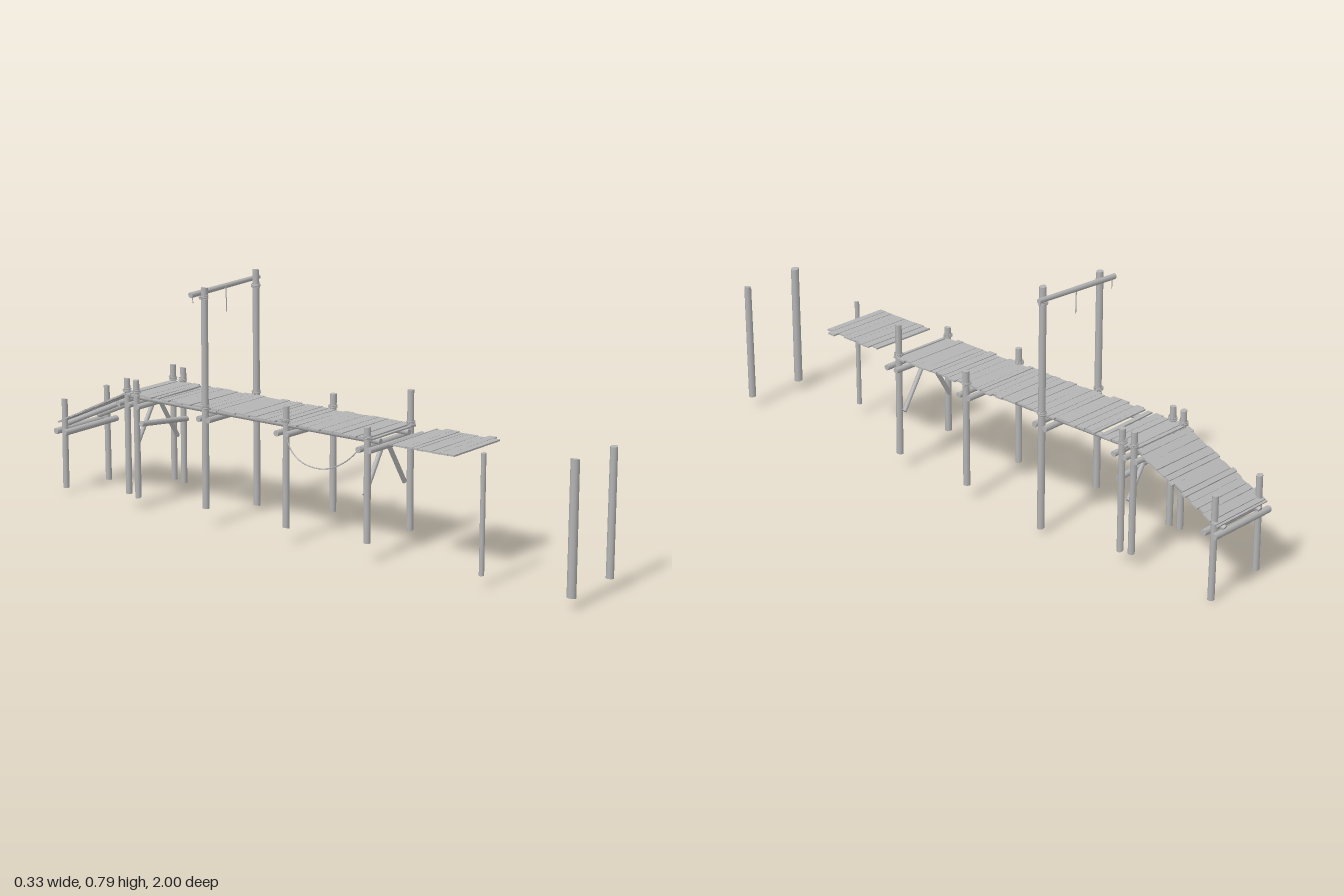
import * as THREE from 'three';

const wood = new THREE.MeshStandardMaterial({ color: 0xb4b4b4 });
wood.name = 'weathered grey wood';

let seed = 7;
const rnd = () => { seed = (seed * 16807) % 2147483647; return seed / 2147483647; };
const vary = (a) => (rnd() * 2 - 1) * a;
const V = (x, y, z) => new THREE.Vector3(x, y, z);

export function createModel() {
  const model = new THREE.Group();
  model.name = 'brokenPier';

  const add = (name, geo) => {
    const m = new THREE.Mesh(geo, wood);
    m.name = name;
    model.add(m);
    return m;
  };

  // Round log between two points, with slightly slanted sawn ends
  const log = (name, a, b, r0, r1 = r0) => {
    const len = a.distanceTo(b);
    const geo = new THREE.CylinderGeometry(r1, r0, len, 9);
    const p = geo.attributes.position, s0 = vary(0.3), s1 = vary(0.3);
    for (let i = 0; i < p.count; i++) {
      const y = p.getY(i);
      p.setY(i, y + p.getX(i) * (y > 0 ? s1 : s0));
    }
    const m = add(name, geo);
    m.position.copy(a).lerp(b, 0.5);
    m.quaternion.setFromUnitVectors(V(0, 1, 0), b.clone().sub(a).normalize());
    return m;
  };

  const rope = (name, pts, r) => add(name, new THREE.TubeGeometry(
    new THREE.CatmullRomCurve3(pts), 24, r, 5));

  const binding = (x, y, z, r) => {
    for (let i = 0; i < 3; i++) {
      const m = add('ropeBinding', new THREE.TorusGeometry(r, 0.0018, 5, 14));
      m.rotation.x = Math.PI / 2 + vary(0.15);
      m.position.set(x, y + (i - 1) * 0.0035, z);
    }
  };

  // Posts: x, z, bottom, top, radius
  const posts = [
    [-0.103, 0.985, 0.035, 0.437, 0.014], [0.103, 0.985, 0.04, 0.43, 0.012],
    [-0.1, 0.68, 0.04, 0.403, 0.008],
    [-0.115, 0.28, 0.065, 0.42, 0.011], [0.102, 0.28, 0.055, 0.492, 0.011],
    [-0.113, -0.03, 0.055, 0.437, 0.011], [0.12, -0.03, 0.055, 0.432, 0.011],
    [-0.126, -0.34, 0.065, 0.765, 0.0115], [0.124, -0.34, 0.018, 0.786, 0.0115],
    [-0.11, -0.64, 0.045, 0.43, 0.0105], [0.112, -0.64, 0.045, 0.432, 0.0105],
    [-0.108, -0.682, 0.05, 0.43, 0.0105], [0.112, -0.682, 0.05, 0.436, 0.0105],
    [-0.103, -0.968, 0.02, 0.32, 0.0105], [0.101, -0.968, 0.003, 0.328, 0.0105],
  ];
  for (const [x, z, y0, y1, r] of posts)
    log('post', V(x, y0, z), V(x + vary(0.002), y1, z + vary(0.002)), r, r * 0.95);

  // Paired cross beams clamped around each row of posts
  for (const [z, y] of [[0.28, 0.352], [-0.03, 0.352], [-0.34, 0.35]])
    for (const s of [-1, 1])
      log('crossBeam', V(-0.135, y + vary(0.003), z + s * 0.02),
        V(0.135, y + vary(0.003), z + s * 0.02), 0.0095);
  for (const z of [-0.62, -0.661, -0.702])
    log('crossBeam', V(-0.13, 0.348, z), V(0.13, 0.351, z), 0.009);
  for (const s of [-1, 1])
    log('rampFootBeam', V(-0.125, 0.212, -0.968 + s * 0.019),
      V(0.125, 0.214, -0.968 + s * 0.019), 0.0105);
  log('lowerTie', V(-0.11, 0.29, -0.622), V(0.11, 0.265, -0.622), 0.009);

  // Bindings where beams meet posts
  for (const [x, z, , y1, r] of posts.slice(3, 13))
    binding(x, Math.min(0.392, y1 - 0.02), z, r + 0.002);

  // Stringers beneath the deck and the ramp, and diagonal braces
  for (const s of [-1, 1]) {
    log('stringer', V(s * 0.072, 0.37, 0.297), V(s * 0.082, 0.37, -0.35), 0.0095);
    log('stringer', V(s * 0.086, 0.37, -0.32), V(s * 0.084, 0.369, -0.69), 0.009);
    log('rampStringer', V(s * 0.08, 0.362, -0.68), V(s * 0.08, 0.226, -0.99), 0.009);
    for (const z of [0.26, -0.655])
      log('brace', V(s * 0.1, 0.205, z), V(s * 0.012, 0.345, z), 0.0075);
  }

  // Run of planks from (z0,y0) back to (z1,y1), with ragged ends
  const deck = (name, z0, y0, z1, y1, left, right, ragL, ragR, skip = []) => {
    const len = Math.hypot(z1 - z0, y1 - y0);
    const angle = Math.atan2(y1 - y0, z0 - z1);
    let t = 0;
    while (t < len - 0.004) {
      const w = Math.min(0.017 + rnd() * 0.018, len - t);
      const k = (t + w / 2) / len, z = z0 + (z1 - z0) * k;
      t += w;
      const a = left + vary(ragL), b = right + vary(ragR);
      if (skip.some(([h, l]) => z < h && z > l)) continue;
      const m = add(name, new THREE.BoxGeometry(b - a, 0.005, w - 0.0015));
      m.position.set((a + b) / 2, y0 + (y1 - y0) * k + vary(0.001), z);
      m.rotation.set(angle + vary(0.02), vary(0.006), vary(0.004));
    }
  };
  deck('deckPlank', 0.275, 0.383, -0.535, 0.383, -0.116, 0.114, 0.007, 0.006);
  deck('deckPlank', -0.57, 0.382, -0.69, 0.381, -0.116, 0.114, 0.007, 0.006);
  deck('rampPlank', -0.692, 0.378, -0.99, 0.24, -0.114, 0.113, 0.008, 0.007);
  deck('loosePlank', 0.6, 0.386, 0.372, 0.384, -0.128, 0.113, 0.002, 0.014);

  // Crooked plank bridging the gap and edge plank at the broken end
  const bridge = add('crookedPlank', new THREE.BoxGeometry(0.215, 0.005, 0.016));
  bridge.position.set(-0.005, 0.383, -0.557);
  bridge.rotation.y = 0.04;
  const edge = add('edgePlank', new THREE.BoxGeometry(0.225, 0.005, 0.01));
  edge.position.set(0, 0.382, 0.287);

  // Overhead beam with its lashings and hanging rope
  log('overheadBeam', V(-0.163, 0.744, -0.361), V(0.163, 0.756, -0.359), 0.009, 0.0075);
  for (const x of [-0.126, 0.124]) binding(x, 0.735, -0.34, 0.0135);
  rope('hangingRope', [V(-0.007, 0.75, -0.351), V(-0.006, 0.72, -0.351),
    V(-0.004, 0.67, -0.352)], 0.0017);
  rope('shortRope', [V(-0.14, 0.745, -0.371), V(-0.141, 0.73, -0.371),
    V(-0.14, 0.715, -0.371)], 0.0015);

  // Slack rope slung between two posts
  rope('slackRope', [V(-0.128, 0.362, 0.268), V(-0.13, 0.315, 0.222), V(-0.13, 0.279, 0.16),
    V(-0.13, 0.268, 0.1), V(-0.13, 0.28, 0.04), V(-0.128, 0.312, 0.0),
    V(-0.124, 0.352, -0.02)], 0.002);

  return model;
}
